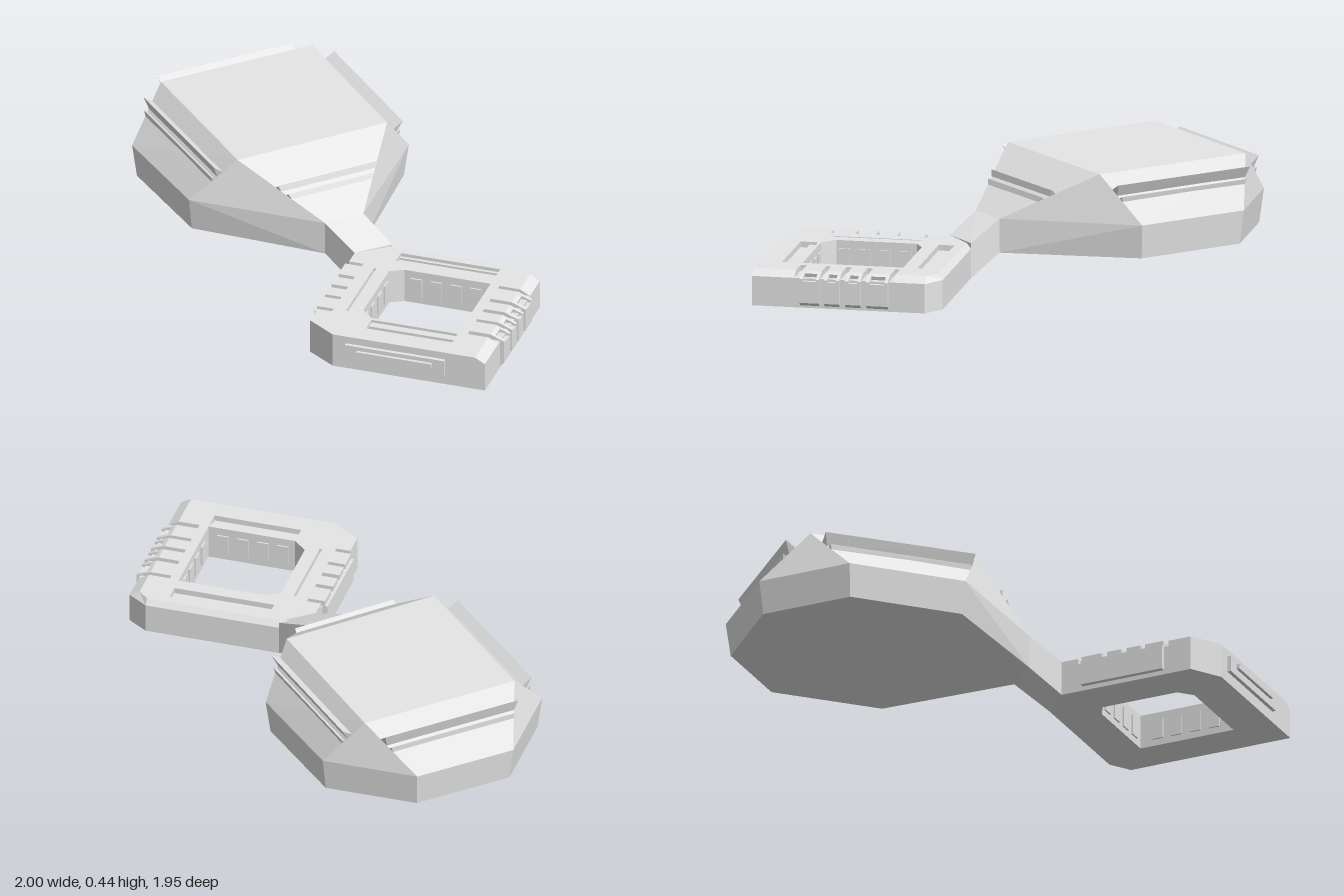
import * as THREE from 'three';
import { ConvexGeometry } from 'three/addons/geometries/ConvexGeometry.js';

const grey = new THREE.MeshStandardMaterial({ color: 0xe6e6e6 });
grey.name = 'light grey';

function add(parent, name, geometry) {
  const mesh = new THREE.Mesh(geometry, grey);
  mesh.name = name;
  parent.add(mesh);
  return mesh;
}

// Box given by its two opposite corners
function block(parent, name, x0, x1, y0, y1, z0, z1) {
  const mesh = add(parent, name, new THREE.BoxGeometry(x1 - x0, y1 - y0, z1 - z0));
  mesh.position.set((x0 + x1) / 2, (y0 + y1) / 2, (z0 + z1) / 2);
}

const vec = p => new THREE.Vector3(...p);
const hull = pts => new ConvexGeometry(pts.map(vec));

// Flat slab cut from an outline in x, z with holes
function slab(outline, holes, y0, y1) {
  const toPts = list => list.map(([x, z]) => new THREE.Vector2(x, -z));
  const shape = new THREE.Shape(toPts(outline));
  holes.forEach(h => shape.holes.push(new THREE.Path(toPts(h).reverse())));
  const g = new THREE.ExtrudeGeometry(shape, { depth: y1 - y0, bevelEnabled: false });
  return g.rotateX(-Math.PI / 2).translate(0, y0, 0);
}

const rect = (x0, x1, z0, z1) => [[x0, z0], [x1, z0], [x1, z1], [x0, z1]];

// Prism in the x, y plane running from z0 to z1
function prism(parent, name, profile, z0, z1) {
  const shape = new THREE.Shape(profile.map(q => new THREE.Vector2(...q)));
  const g = new THREE.ExtrudeGeometry(shape, { depth: z1 - z0, bevelEnabled: false });
  add(parent, name, g.translate(0, 0, z0));
}

// Undercut lip on a sloped face, between fractions t0 and t1 of its height
function lip(parent, name, face, t0, t1, height) {
  const [a, b, c, d] = face.map(vec); // top edge a-b, lower edge d-c
  const n = b.clone().sub(a).cross(d.clone().sub(a)).normalize();
  if (n.y < 0) n.negate();
  const pts = [[a, d], [b, c]].flatMap(([hi, lo]) => {
    const root = hi.clone().lerp(lo, t0);
    const foot = hi.clone().lerp(lo, t1);
    return [root, root.clone().lerp(foot, 0.15).addScaledVector(n, height), foot];
  });
  add(parent, name, new ConvexGeometry(pts));
}

function buildBody() {
  const body = new THREE.Group();
  body.name = 'body';

  // Octagon with one diagonal pushed out to meet the neck
  const outline = [
    [-0.665, -0.97], [-0.24, -0.97], [0.13, -0.6], [0.13, 0.028],
    [0, 0.16], [-0.62, 0.152], [-1, -0.22], [-1, -0.65],
  ];
  const mid = outline.map(([x, z]) => [x, 0.23, z]);
  const inset = (v, c) => c + (v - c) * 0.965;
  const low = outline.map(([x, z], i) =>
    i === 3 || i === 4 ? [x, 0.08, z] : [inset(x, -0.435), 0.08, inset(z, -0.41)]);
  const top = [[-0.42, -0.94], [0.095, -0.405], [-0.415, 0.105], [-0.94, -0.435]]
    .map(([x, z]) => [x, 0.44, z]);
  add(body, 'bodyShell', hull([...low, ...mid, ...top]));

  // Paired lips on the diagonal slopes
  [
    [top[0], top[1], mid[2], mid[1]],
    [top[2], top[3], mid[6], mid[5]],
    [top[3], top[0], mid[0], mid[7]],
  ].forEach(face => {
    lip(body, 'upperLip', face, 0.3, 0.42, 0.052);
    lip(body, 'lowerLip', face, 0.47, 0.54, 0.018);
  });
  const neckSide = [top[1], top[2], mid[4], mid[3]];
  lip(body, 'upperLip', neckSide, 0.44, 0.5, 0.02);
  lip(body, 'lowerLip', neckSide, 0.56, 0.62, 0.014);

  // Neck down to the frame corner
  add(body, 'neck', hull([
    low[3], low[4], mid[3], mid[4],
    [0.16, 0, 0.24], [0.29, 0, 0.12], [0.16, 0.155, 0.24], [0.29, 0.155, 0.12],
  ]));
  return body;
}

function buildFrame() {
  const frame = new THREE.Group();
  frame.name = 'frame';
  const opening = [
    [0.35, 0.345], [0.41, 0.312], [0.8, 0.312], [0.8, 0.755], [0.41, 0.755], [0.35, 0.7],
  ];
  add(frame, 'frameBase', slab([
    [0.16, 0.24], [0.29, 0.12], [0.89, 0.12], [0.98, 0.18],
    [0.98, 0.94], [0.29, 0.94], [0.16, 0.855],
  ], [opening], 0, 0.13));

  // Upper layer with recesses and side notches, tapered on its back and right edges
  const cap = slab([
    [0.16, 0.24], [0.29, 0.12], [0.89, 0.12], [0.98, 0.18],
    [0.98, 0.318], [0.84, 0.318], [0.84, 0.755], [0.98, 0.755],
    [0.98, 0.94], [0.29, 0.94], [0.16, 0.855],
    [0.16, 0.75], [0.225, 0.75], [0.225, 0.318], [0.16, 0.318],
  ], [
    opening, rect(0.35, 0.8, 0.18, 0.25), rect(0.41, 0.8, 0.768, 0.845),
    rect(0.28, 0.291, 0.34, 0.728),
  ], 0.13, 0.155);
  const p = cap.attributes.position;
  for (let i = 0; i < p.count; i++) {
    if (p.getY(i) < 0.15) continue;
    if (p.getX(i) > 0.97) p.setX(i, 0.935);
    if (p.getZ(i) < 0.13) p.setZ(i, 0.14);
  }
  cap.computeVertexNormals();
  add(frame, 'frameTop', cap);
  block(frame, 'backSlotBar', 0.35, 0.8, 0.13, 0.14, 0.18, 0.195);
  block(frame, 'frontSlotBar', 0.41, 0.8, 0.13, 0.143, 0.768, 0.805);

  // Front panel with a narrow bar
  block(frame, 'frontPanel', 0.35, 0.8, 0.05, 0.122, 0.935, 0.957);
  block(frame, 'frontBar', 0.405, 0.745, 0.083, 0.104, 0.95, 0.971);

  // Grip ribs wrapped over the two sides, the right ones notched near the top
  const under = [[0.998, 0.025], [0.97, 0.002], [0.84, 0.002], [0.84, 0.155], [0.935, 0.155]];
  const fullRib = [...under, [0.998, 0.13]];
  const notchedRib = [...under, [0.955, 0.146], [0.947, 0.12], [0.998, 0.12]];
  [[0.34, 0.435], [0.46, 0.528], [0.553, 0.62], [0.642, 0.728]].forEach(([z0, z1]) => {
    prism(frame, 'rightRibEnd', fullRib, z0, z0 + 0.015);
    prism(frame, 'rightRibMiddle', notchedRib, z0 + 0.015, z1 - 0.015);
    prism(frame, 'rightRibEnd', fullRib, z1 - 0.015, z1);
    block(frame, 'leftRib', 0.15, 0.225, 0.02, 0.155, z0, z1);
  });
  block(frame, 'leftRail', 0.138, 0.165, 0.02, 0.13, 0.34, 0.728);

  // Small plates around the opening
  for (let i = 0; i < 4; i++) {
    const z = 0.37 + i * 0.09, x = 0.44 + i * 0.09;
    block(frame, 'innerPlate', 0.345, 0.357, 0.03, 0.12, z, z + 0.05);
    block(frame, 'innerPlate', 0.793, 0.805, 0.03, 0.12, z, z + 0.05);
    block(frame, 'innerPlate', x, x + 0.05, 0.03, 0.12, 0.307, 0.319);
    block(frame, 'innerPlate', x, x + 0.05, 0.03, 0.12, 0.748, 0.76);
  }
  return frame;
}

export function createModel() {
  const model = new THREE.Group();
  model.name = 'model';
  model.add(buildBody(), buildFrame());
  return model;
}
